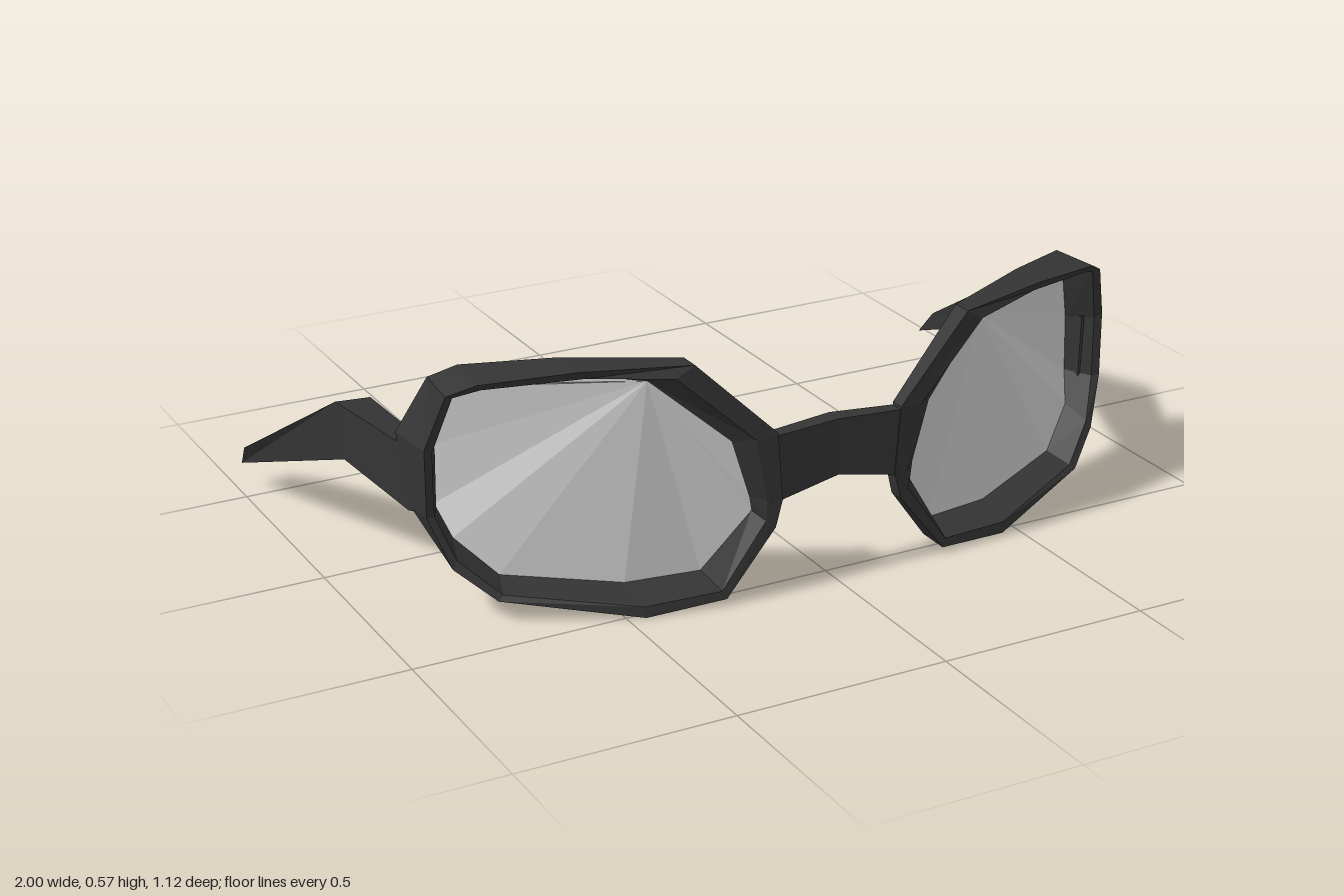
import * as THREE from 'three';

const frameMat = new THREE.MeshStandardMaterial({ color: 0x343434 });
frameMat.name = 'charcoal frame';
const lensMat = new THREE.MeshStandardMaterial({ color: 0xd2d2d2, side: THREE.DoubleSide });
lensMat.name = 'grey lens';

// Faceted mesh from triangles; side = -1 mirrors it across x and flips the corners
function facets(name, tris, side, material) {
  const pos = [];
  for (const t of tris) {
    const corners = side < 0 ? [t[0], t[2], t[1]] : t;
    for (const [x, y, z] of corners) pos.push(x * side, y, z);
  }
  const g = new THREE.BufferGeometry();
  g.setAttribute('position', new THREE.Float32BufferAttribute(pos, 3));
  g.computeVertexNormals();
  const mesh = new THREE.Mesh(g, material);
  mesh.name = name;
  return mesh;
}

// Triangle fan over one ring
function fan(ring) {
  const tris = [];
  for (let i = 1; i < ring.length - 1; i++) tris.push([ring[0], ring[i], ring[i + 1]]);
  return tris;
}

// Skin between matching rings, either a closed loop or a capped bar
function loft(rings, closed) {
  const tris = [];
  const n = rings.length;
  for (let i = 0; i < (closed ? n : n - 1); i++) {
    const r = rings[i], q = rings[(i + 1) % n];
    for (let j = 0; j < r.length; j++) {
      const k = (j + 1) % r.length;
      tris.push([r[j], r[k], q[k]], [r[j], q[k], q[j]]);
    }
  }
  if (!closed) tris.push(...fan(rings[n - 1]), ...fan([...rings[0]].reverse()));
  return tris;
}

// Rim stations: outer x, y, front z, back x, back z, then lens edge x, y, z
const stations = [
  [0.342, 0.57, 0.525, 0.342, 0.475, 0.42, 0.524, 0.455],
  [0.583, 0.574, 0.455, 0.583, 0.355, 0.556, 0.54, 0.385],
  [0.78, 0.556, 0.38, 0.768, 0.25, 0.755, 0.522, 0.285],
  [0.834, 0.524, 0.335, 0.822, 0.21, 0.79, 0.507, 0.245],
  [0.872, 0.396, 0.3, 0.884, 0.172, 0.823, 0.37, 0.22],
  [0.872, 0.24, 0.3, 0.877, 0.217, 0.823, 0.235, 0.225],
  [0.83, 0.123, 0.335, 0.818, 0.262, 0.8, 0.166, 0.268],
  [0.75, 0.053, 0.39, 0.738, 0.3, 0.716, 0.08, 0.32],
  [0.46, 0.002, 0.52, 0.46, 0.43, 0.465, 0.048, 0.425],
  [0.278, 0.018, 0.55, 0.278, 0.468, 0.295, 0.053, 0.458],
  [0.16, 0.166, 0.555, 0.16, 0.515, 0.2, 0.2, 0.517],
  [0.143, 0.228, 0.555, 0.143, 0.52, 0.208, 0.235, 0.522],
  [0.155, 0.388, 0.555, 0.155, 0.52, 0.25, 0.374, 0.518],
];

// Rim section: front face, deep inner wall down to the lens, back face, outer wall
const rimRings = stations.map(([x, y, zf, bx, zb, lx, ly, lz]) => {
  const t = x > 0.7 ? 0.6 : 0.45;
  return [
    [x, y, zf],
    [lx + (x - lx) * t, ly + (y - ly) * t, zf - 0.004],
    [lx, ly, lz],
    [bx, y, zb],
  ];
});
const lensRing = stations.map((s) => s.slice(5)).reverse();

// Arm sections: top y, top z, bottom y, bottom z, outer x at top and bottom, inner x
const armRings = [
  [0.388, 0.27, 0.24, 0.27, 0.866, 0.866, 0.835],
  [0.376, 0.165, 0.226, 0.215, 0.886, 0.878, 0.827],
  [0.41, -0.015, 0.281, 0.01, 0.947, 0.942, 0.865],
  [0.13, -0.495, 0.066, -0.555, 1.0, 0.988, 0.908],
].map(([yt, zt, yb, zb, xt, xb, xi]) => [
  [xt, yt, zt], [xb, yb, zb], [xi, yb - 0.011, zb - 0.005], [xi, yt - 0.005, zt],
]);

// Bridge sections: x, top y, bottom y, front z, back z
const bridgeRings = [
  [-0.17, 0.38, 0.222, 0.553, 0.52],
  [0, 0.388, 0.255, 0.548, 0.505],
  [0.17, 0.38, 0.222, 0.553, 0.52],
].map(([x, yt, yb, zf, zb]) => [[x, yt, zf], [x, yb, zf], [x, yb, zb], [x, yt, zb]]);

export function createModel() {
  const model = new THREE.Group();
  model.name = 'glasses';
  for (const [label, side] of [['left', 1], ['right', -1]]) {
    model.add(
      facets(label + 'Rim', loft(rimRings, true), side, frameMat),
      facets(label + 'Lens', fan([lensRing[12], ...lensRing.slice(0, 12)]), side, lensMat),
      facets(label + 'Arm', loft(armRings, false), side, frameMat),
    );
  }
  model.add(facets('bridge', loft(bridgeRings, false), 1, frameMat));
  return model;
}
